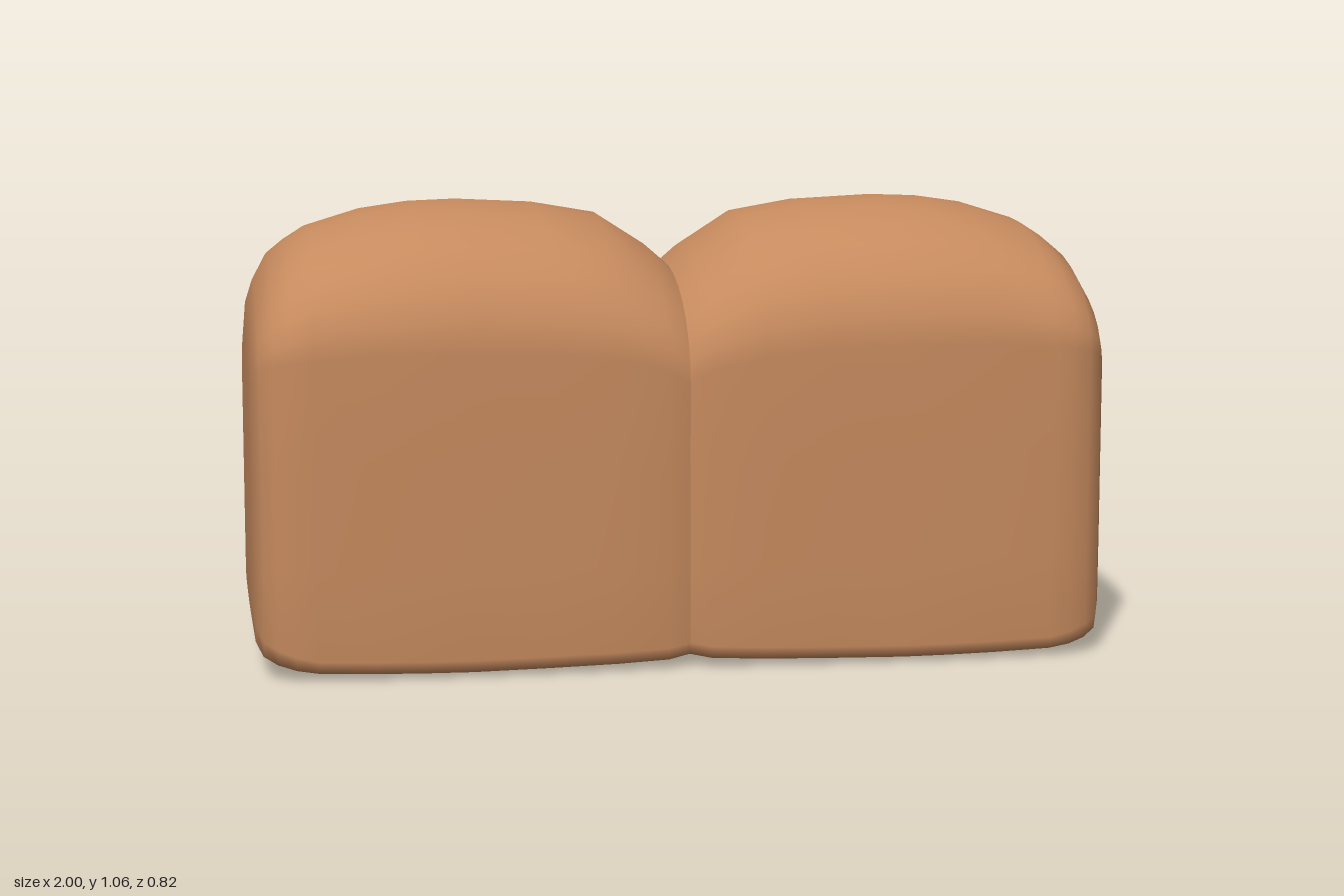
import * as THREE from 'three';

// Stations of one half: x, half width, top, shoulder, bottom, lower corner radius
const STATIONS = [
  [0.0, 0.38, 0.905, 0.66, 0.018, 0.04],
  [0.05, 0.396, 0.948, 0.69, 0.01, 0.04],
  [0.17, 0.405, 1.025, 0.72, 0.006, 0.04],
  [0.32, 0.409, 1.051, 0.735, 0.003, 0.04],
  [0.5, 0.41, 1.06, 0.74, 0.0, 0.04],
  [0.61, 0.41, 1.056, 0.74, 0.001, 0.04],
  [0.72, 0.408, 1.04, 0.738, 0.003, 0.04],
  [0.85, 0.403, 1.0, 0.73, 0.007, 0.04],
  [0.9, 0.396, 0.968, 0.722, 0.012, 0.045],
  [0.94, 0.384, 0.935, 0.715, 0.022, 0.05],
  [0.972, 0.36, 0.875, 0.7, 0.038, 0.05],
  [0.988, 0.32, 0.825, 0.68, 0.065, 0.05],
  [0.996, 0.26, 0.74, 0.62, 0.12, 0.05],
];

// Closed arch section as [z, y]: dome, wall, rounded base, wall
function section(w, top, shoulder, bottom, r) {
  const pts = [];
  const dome = 16;
  for (let i = 0; i <= dome; i++) {
    const a = (Math.PI * i) / dome;
    pts.push([-w * Math.cos(a), shoulder + (top - shoulder) * Math.sin(a)]);
  }
  const side = [
    [w, shoulder * 0.66 + bottom * 0.34], [w, shoulder * 0.33 + bottom * 0.67],
    [w - 0.002, bottom + r], [w - r * 0.3, bottom + r * 0.3],
    [w - r, bottom + 0.007], [w * 0.65, bottom + 0.003],
  ];
  pts.push(...side, [0, bottom]);
  for (const [z, y] of side.reverse()) pts.push([-z, y]);
  return pts;
}

// Loft the sections along x and close the outer end
function loafHalfGeometry() {
  const pos = [], index = [];
  let n = 0;
  for (const [x, ...s] of STATIONS) {
    const ring = section(...s);
    n = ring.length;
    for (const [z, y] of ring) pos.push(x, y, z);
  }
  const last = (STATIONS.length - 1) * n;
  const centre = pos.length / 3;
  pos.push(1, 0.42, 0);
  for (let j = 0; j < n; j++) {
    const k = (j + 1) % n;
    for (let i = 0; i < last; i += n) {
      index.push(i + j, i + k, i + n + k, i + j, i + n + k, i + n + j);
    }
    index.push(centre, last + j, last + k);
  }
  const geo = new THREE.BufferGeometry();
  geo.setAttribute('position', new THREE.Float32BufferAttribute(pos, 3));
  geo.setIndex(index);
  geo.computeVertexNormals();
  return geo;
}

export function createModel() {
  const group = new THREE.Group();
  group.name = 'breadLoaf';
  const crust = new THREE.MeshStandardMaterial({ color: 0xc68a5e });
  crust.name = 'crust';
  const geo = loafHalfGeometry();

  // Two matching halves meeting at the central groove
  ['leftLoafHalf', 'rightLoafHalf'].forEach((name, i) => {
    const half = new THREE.Mesh(geo, crust);
    half.name = name;
    half.rotation.y = i * Math.PI;
    group.add(half);
  });
  return group;
}
